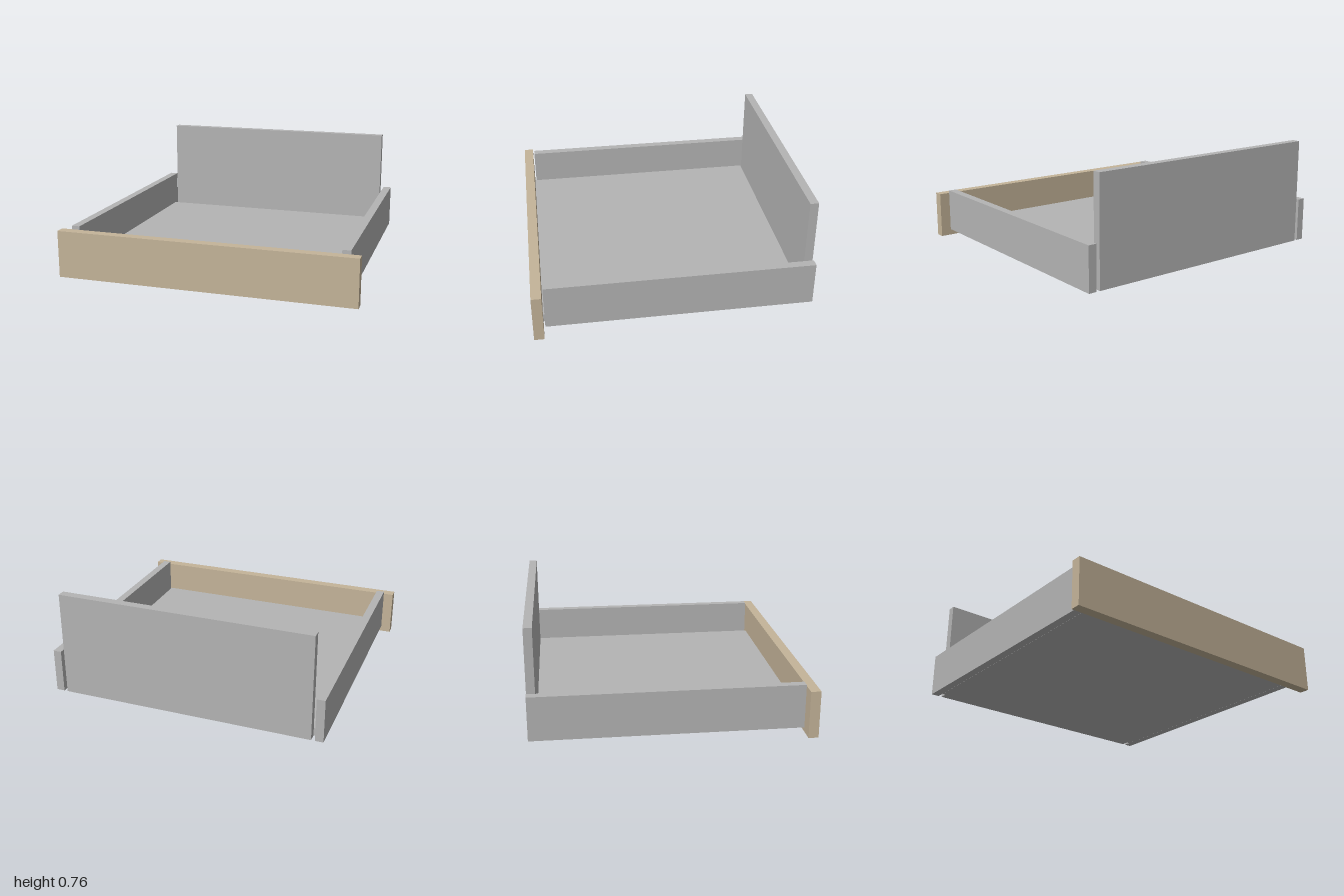
import * as THREE from 'three';

export function createModel() {
  const model = new THREE.Group();
  model.name = 'drawer';

  const wood = new THREE.MeshStandardMaterial({ color: 0xc4b499 });
  wood.name = 'beige wood';
  const grey = new THREE.MeshStandardMaterial({ color: 0xb4b4b4 });
  grey.name = 'light grey';

  // Board given by its extents along each axis
  function board(name, material, [x0, x1], [y0, y1], [z0, z1]) {
    const mesh = new THREE.Mesh(new THREE.BoxGeometry(x1 - x0, y1 - y0, z1 - z0), material);
    mesh.position.set((x0 + x1) / 2, (y0 + y1) / 2, (z0 + z1) / 2);
    mesh.name = name;
    model.add(mesh);
  }

  const under = 0.044; // underside of the drawer box
  board('frontPanel', wood, [-1, 1], [0, 0.317], [0.85, 0.916]);
  board('bottomPanel', grey, [-0.877, 0.877], [under, 0.098], [-0.86, 0.85]);
  board('backPanel', grey, [-0.854, 0.854], [under, 0.756], [-0.916, -0.86]);

  // Side walls, stopping just short of the front panel
  board('leftSide', grey, [0.878, 0.933], [under, 0.338], [-0.916, 0.84]);
  board('rightSide', grey, [-0.933, -0.878], [under, 0.338], [-0.916, 0.84]);

  return model;
}
